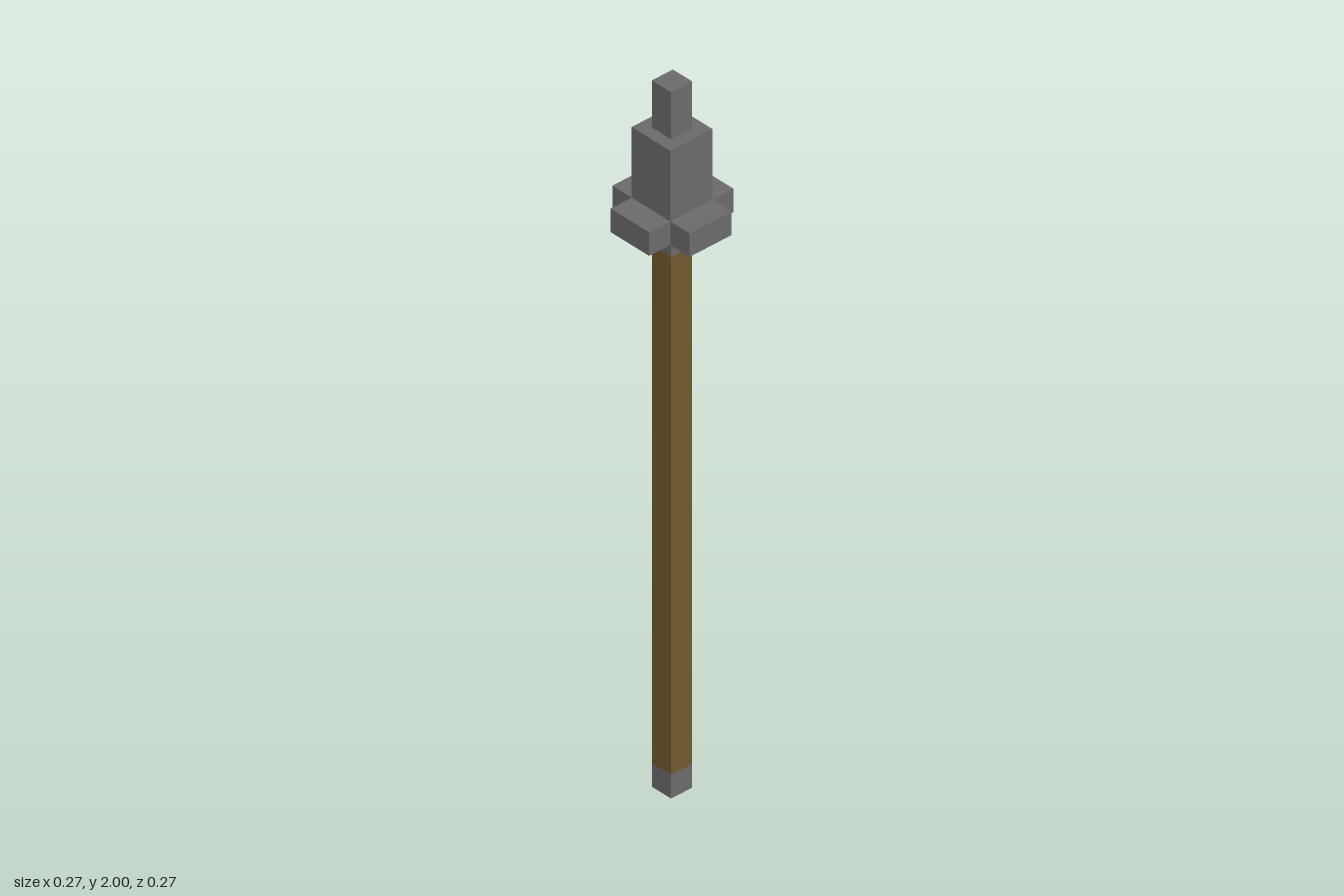
import * as THREE from 'three';

const U = 2 / 30; // one grid step: the whole spear is 30 steps tall

export function createModel() {
  const spear = new THREE.Group();
  spear.name = 'spear';

  const iron = new THREE.MeshStandardMaterial({ name: 'dark iron', color: 0x6a6a6a });
  const wood = new THREE.MeshStandardMaterial({ name: 'brown wood', color: 0x72572c });

  // Square block from step y0 up to y1, centred on (x, z), all in grid steps
  function block(name, material, width, y0, y1, x = 0, z = 0, depth = width) {
    const mesh = new THREE.Mesh(
      new THREE.BoxGeometry(width * U, (y1 - y0) * U, depth * U), material);
    mesh.name = name;
    mesh.position.set(x * U, ((y0 + y1) / 2) * U, z * U);
    spear.add(mesh);
  }

  // Shaft with iron ends
  block('buttCap', iron, 1, 0, 1);
  block('shaft', wood, 1, 1, 23);
  block('collar', iron, 1, 23, 24);

  // Stepped spearhead
  block('head', iron, 2, 24, 28);
  block('tip', iron, 1, 28, 30);

  // Cross guard: one arm on each side of the head
  for (const side of [-1, 1]) {
    const label = side > 0 ? ['guardLeft', 'guardFront'] : ['guardRight', 'guardBack'];
    block(label[0], iron, 1, 24, 25, side * 1.5, 0, 2);
    block(label[1], iron, 2, 24, 25, 0, side * 1.5, 1);
  }

  return spear;
}
